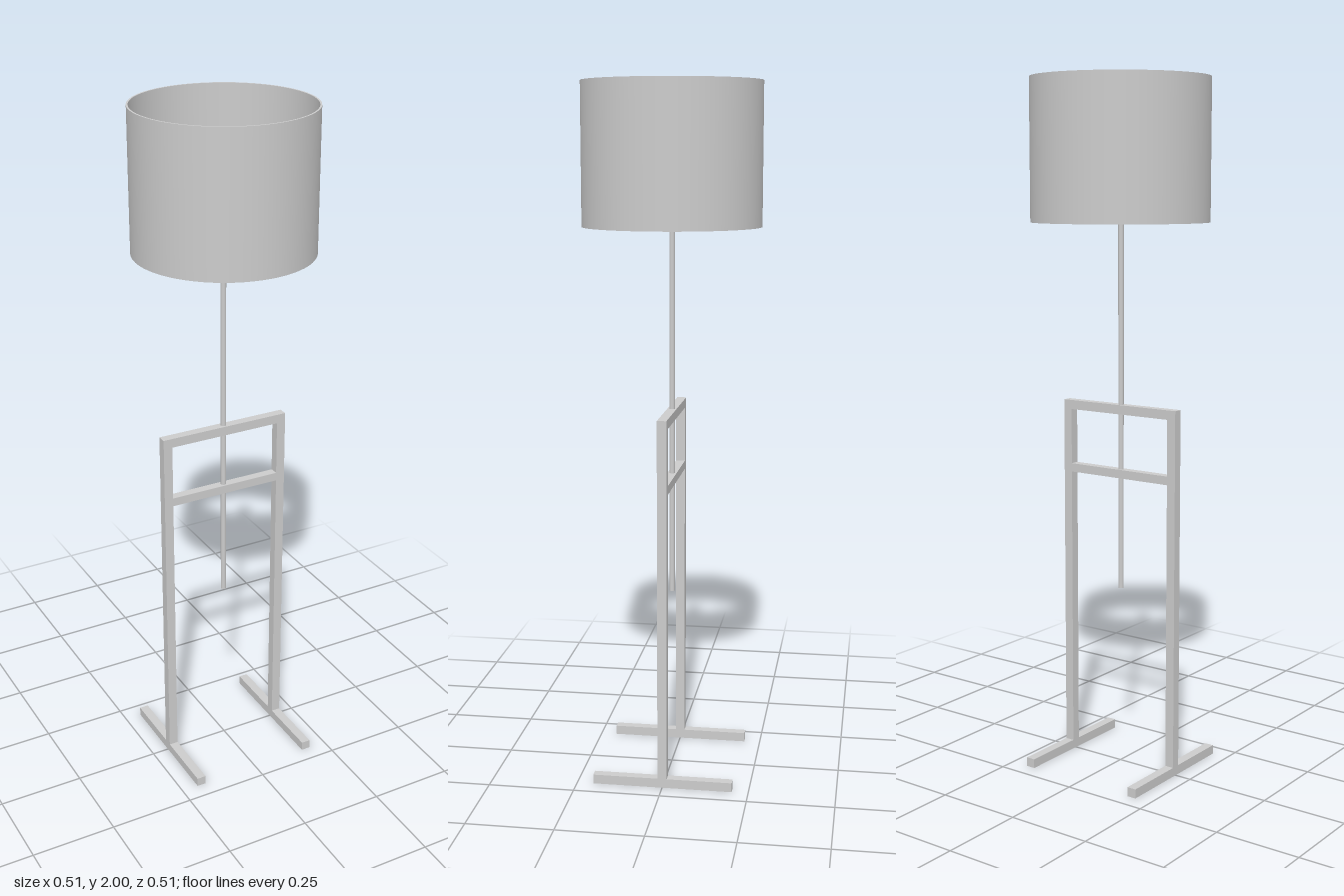
import * as THREE from 'three';

const grey = new THREE.MeshStandardMaterial({ color: 0xcccccc });
const greyFlat = new THREE.MeshStandardMaterial({ color: 0xcccccc, flatShading: true });
const greyDouble = new THREE.MeshStandardMaterial({ color: 0xcccccc, side: THREE.DoubleSide });

const BAR = 0.027;      // square tube thickness
const CX = -0.002;      // axis of stand and rod
const LEG_X = 0.184;    // leg distance from the axis

function add(parent, name, geometry, material, x = 0, y = 0, z = 0) {
  const mesh = new THREE.Mesh(geometry, material);
  mesh.name = name;
  mesh.position.set(x, y, z);
  parent.add(mesh);
  return mesh;
}

const lathe = (points, sides) =>
  new THREE.LatheGeometry(points.map(([r, y]) => new THREE.Vector2(r, y)), sides);

// Thin straight wire between two points
function wire(parent, name, a, b, radius) {
  const mesh = add(parent, name, new THREE.CylinderGeometry(radius, radius, a.distanceTo(b), 8), grey);
  mesh.position.copy(a).lerp(b, 0.5);
  mesh.quaternion.setFromUnitVectors(new THREE.Vector3(0, 1, 0), b.clone().sub(a).normalize());
}

export function createModel() {
  const lamp = new THREE.Group();
  lamp.name = 'floorLamp';

  // Stand: two feet, two legs, two cross rails
  const stand = new THREE.Group();
  stand.name = 'stand';
  stand.position.x = CX;
  lamp.add(stand);
  for (const side of [-1, 1]) {
    const label = side > 0 ? 'left' : 'right';
    add(stand, label + 'Foot', new THREE.BoxGeometry(BAR, BAR, 0.405), grey, side * LEG_X, BAR / 2, 0);
    add(stand, label + 'Leg', new THREE.BoxGeometry(BAR, 1.053, BAR), grey, side * LEG_X, BAR + 0.5265, 0);
  }
  const railLength = 2 * LEG_X - BAR;
  add(stand, 'topRail', new THREE.BoxGeometry(railLength, BAR, BAR), grey, 0, 1.0665, 0);
  add(stand, 'lowerRail', new THREE.BoxGeometry(railLength, 0.025, BAR), grey, 0, 0.878, 0);

  // Rod through both rails up to the socket
  add(lamp, 'rod', new THREE.CylinderGeometry(0.008, 0.008, 1.105, 16), grey, CX, 0.535 + 0.5525, 0);

  // Socket and low-poly bulb
  add(lamp, 'socketCollar', new THREE.CylinderGeometry(0.02, 0.02, 0.012, 12), greyFlat, CX, 1.646, 0);
  add(lamp, 'socket', new THREE.CylinderGeometry(0.014, 0.014, 0.04, 12), greyFlat, CX, 1.664, 0);
  add(lamp, 'bulb', lathe([
    [0, 1.68], [0.013, 1.68], [0.014, 1.695], [0.02, 1.715], [0.027, 1.735],
    [0.028, 1.752], [0.023, 1.768], [0.013, 1.778], [0, 1.781],
  ], 10), greyFlat, CX, 0, 0);

  // Drum shade with a thin wall, open at top and bottom
  const shade = new THREE.Group();
  shade.name = 'shade';
  lamp.add(shade);
  const [rOut, rIn, y0, y1] = [0.254, 0.249, 1.6, 2.0];
  add(shade, 'shadeOuterWall', new THREE.CylinderGeometry(rOut, rOut, y1 - y0, 64, 1, true), greyDouble, 0, 1.8, 0);
  add(shade, 'shadeInnerWall', new THREE.CylinderGeometry(rIn, rIn, y1 - y0, 64, 1, true), greyDouble, 0, 1.8, 0);
  for (const y of [y0, y1]) {
    const rim = add(shade, 'shadeRim', new THREE.RingGeometry(rIn, rOut, 64), greyDouble, 0, y, 0);
    rim.rotation.x = Math.PI / 2;
  }

  // Wire ring at the bottom and three sloping spokes
  const ring = add(shade, 'wireRing', new THREE.TorusGeometry(0.249, 0.003, 8, 64), grey, 0, 1.607, 0);
  ring.rotation.x = Math.PI / 2;
  for (let i = 0; i < 3; i++) {
    const a = (i * 2 * Math.PI) / 3;
    wire(shade, 'spoke',
      new THREE.Vector3(CX + 0.012 * Math.cos(a), 1.648, 0.012 * Math.sin(a)),
      new THREE.Vector3(0.249 * Math.cos(a), 1.607, 0.249 * Math.sin(a)), 0.0017);
  }
  return lamp;
}
